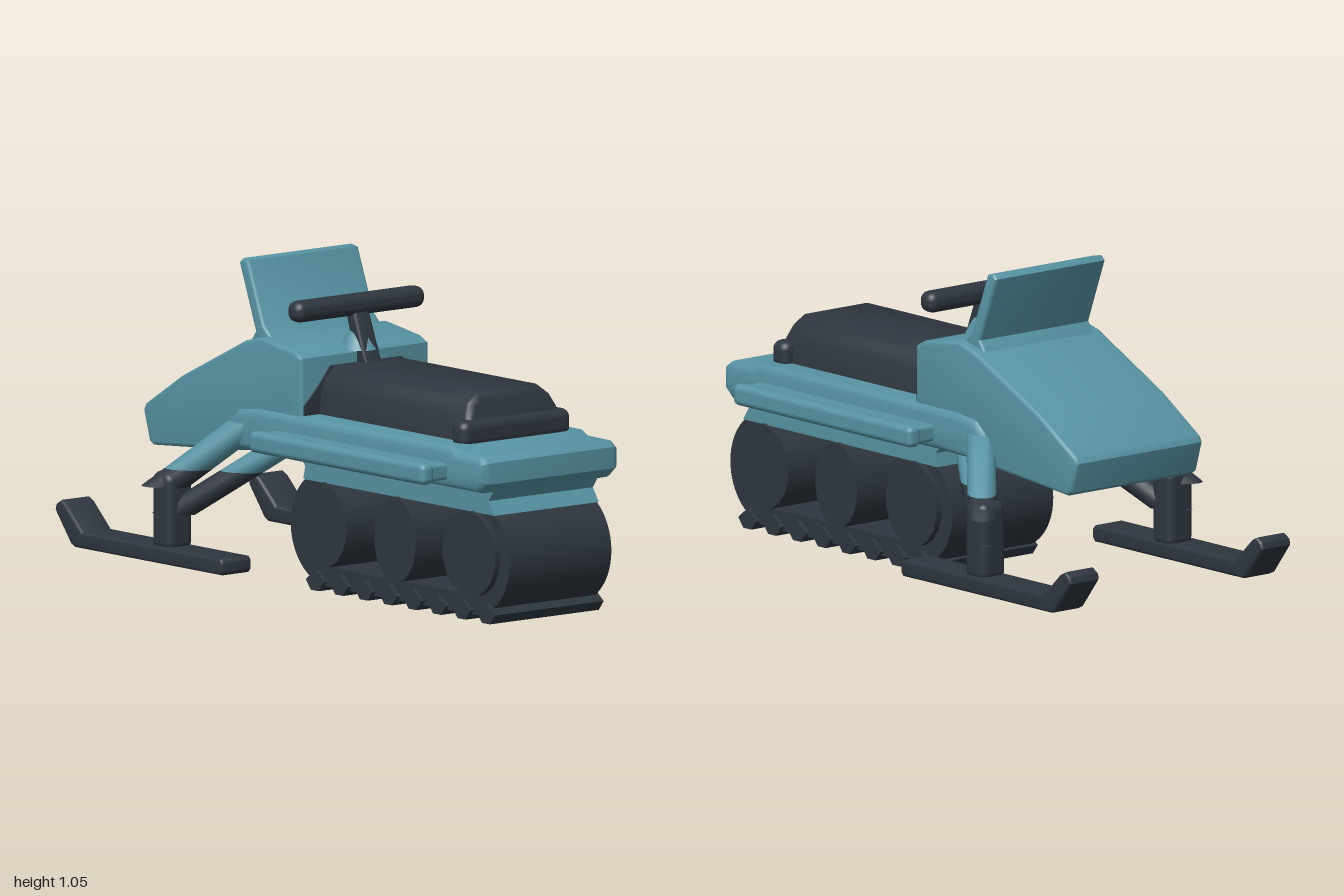
import * as THREE from 'three';
import { toCreasedNormals } from 'three/addons/utils/BufferGeometryUtils.js';
import { RoundedBoxGeometry } from 'three/addons/geometries/RoundedBoxGeometry.js';

const teal = new THREE.MeshStandardMaterial({ color: 0x5793a3 });
teal.name = 'teal paint';
const dark = new THREE.MeshStandardMaterial({ color: 0x2e363f });
dark.name = 'dark rubber';

export function createModel() {
  const model = new THREE.Group();
  model.name = 'snowmobile';

  const add = (name, geometry, material) => {
    const mesh = new THREE.Mesh(geometry, material);
    mesh.name = name;
    model.add(mesh);
    return mesh;
  };

  const outline = (points) => new THREE.Shape(points.map(([x, y]) => new THREE.Vector2(x, y)));

  // Extrudes a side outline from z0 to z1 with bevelled edges kept inside the outline
  const slab = (shape, z0, z1, bevel) => {
    const g = new THREE.ExtrudeGeometry(shape, {
      depth: z1 - z0 - 2 * bevel, bevelEnabled: bevel > 0, bevelThickness: bevel,
      bevelSize: bevel, bevelOffset: -bevel, bevelSegments: 3, curveSegments: 16,
    });
    g.translate(0, 0, z0 + bevel);
    return toCreasedNormals(g, 0.6);
  };

  // Rounded box given by its limits
  const block = (x0, x1, y0, y1, z0, z1, r) =>
    new RoundedBoxGeometry(x1 - x0, y1 - y0, z1 - z0, 3, r)
      .translate((x0 + x1) / 2, (y0 + y1) / 2, (z0 + z1) / 2);

  // Slanted rod from a to b whose ends are cut level
  const rod = (a, b, r) => {
    const d = new THREE.Vector3().subVectors(b, a);
    const g = new THREE.CylinderGeometry(r, r, d.length(), 14);
    const top = Array.from(g.attributes.position.array).filter((_, i) => i % 3 === 1).map((y) => y > 0);
    g.applyQuaternion(new THREE.Quaternion().setFromUnitVectors(
      new THREE.Vector3(0, 1, 0), d.clone().normalize()));
    g.translate((a.x + b.x) / 2, (a.y + b.y) / 2, (a.z + b.z) / 2);
    const p = g.attributes.position, v = new THREE.Vector3();
    for (let i = 0; i < p.count; i++) {
      v.fromBufferAttribute(p, i);
      v.addScaledVector(d, ((top[i] ? b.y : a.y) - v.y) / d.y);
      p.setXYZ(i, v.x, v.y, v.z);
    }
    return toCreasedNormals(g.toNonIndexed(), 0.7);
  };

  // Body
  add('hood', slab(outline([
    [-0.795, 0.5], [-0.765, 0.4], [-0.745, 0.388], [-0.36, 0.42], [-0.1, 0.45], [0.01, 0.47],
    [0.01, 0.765], [-0.03, 0.785], [-0.2, 0.81], [-0.28, 0.79], [-0.6, 0.635], [-0.785, 0.52],
  ]), -0.27, 0.27, 0.012), teal);
  add('windshield', slab(outline([
    [-0.35, 1.035], [-0.335, 1.05], [-0.305, 1.045], [-0.225, 0.84], [-0.18, 0.8],
    [-0.2, 0.77], [-0.3, 0.77], [-0.268, 0.82],
  ]), -0.235, 0.235, 0.01), teal);
  add('chassis', slab(outline([
    [-0.38, 0.43], [-0.34, 0.53], [-0.3, 0.565], [-0.2, 0.578], [0.78, 0.578], [0.81, 0.562],
    [0.93, 0.56], [0.957, 0.54], [0.957, 0.47], [0.92, 0.437], [-0.1, 0.437],
  ]), -0.287, 0.287, 0.028), teal);
  add('tunnel', slab(outline([
    [-0.04, 0.36], [0.93, 0.36], [0.9, 0.405], [0.94, 0.46], [-0.09, 0.46], [-0.03, 0.405],
  ]), -0.22, 0.22, 0), teal);

  // Seat: rounded section swept along x, its rear end leaning forward
  const seat = new THREE.ExtrudeGeometry(outline([
    [-0.2, 0.56], [0.2, 0.56], [0.19, 0.66], [0.17, 0.7], [0.13, 0.732],
    [-0.13, 0.732], [-0.17, 0.7], [-0.19, 0.66],
  ]), { depth: 0.77, bevelThickness: 0.02, bevelSize: 0.02, bevelOffset: -0.02, bevelSegments: 3 });
  seat.rotateY(Math.PI / 2);
  const sp = seat.attributes.position;
  for (let i = 0; i < sp.count; i++) {
    if (sp.getX(i) > 0.5) sp.setX(i, sp.getX(i) - 0.3 * (sp.getY(i) - 0.56));
  }
  add('seat', toCreasedNormals(seat, 0.7), dark);
  add('seatRearRim', block(0.71, 0.787, 0.56, 0.65, -0.23, 0.23, 0.03), dark);
  add('seatFrontPanel', slab(outline([
    [-0.26, 0.57], [0.26, 0.57], [0.26, 0.61], [0.2, 0.67], [0.15, 0.732],
    [-0.15, 0.732], [-0.2, 0.67], [-0.26, 0.61],
  ]), 0, 0.008, 0).rotateY(Math.PI / 2).translate(0.009, 0, 0), dark);

  // Steering
  add('handlebar', block(-0.072, 0, 0.878, 0.948, -0.272, 0.272, 0.03), dark);
  add('steeringStem', slab(outline([
    [-0.055, 0.9], [-0.01, 0.9], [0.06, 0.72], [-0.02, 0.72], [-0.02, 0.79],
  ]), -0.035, 0.035, 0.012), dark);
  add('stemCollar', new THREE.CylinderGeometry(0.035, 0.065, 0.06, 16).translate(-0.02, 0.8, 0), teal);

  // Track belt: a hollow loop
  const loop = (path, x0, x1, y, r) => {
    path.absarc(x1, y, r, -Math.PI / 2, Math.PI / 2, false);
    path.absarc(x0, y, r, Math.PI / 2, Math.PI * 1.5, false);
    path.closePath();
    return path;
  };
  const belt = loop(new THREE.Shape(), 0.08, 0.81, 0.21, 0.19);
  belt.holes.push(loop(new THREE.Path(), 0.1, 0.79, 0.2225, 0.137));
  add('trackBelt', slab(belt, -0.215, 0.215, 0), dark);

  // Track lugs
  for (let i = 0; i < 8; i++) {
    const x = 0.03 + i * 0.124;
    add('trackLug', slab(outline([
      [x - 0.045, 0.035], [x - 0.02, 0.003], [x + 0.02, 0.003], [x + 0.045, 0.035], [x, 0.07],
    ]), -0.23, 0.23, 0), dark);
  }

  // Track wheels
  for (const [x, r] of [[0.07, 0.128], [0.445, 0.106], [0.82, 0.135]]) {
    const wheel = new THREE.CylinderGeometry(r, r, 0.474, 18);
    wheel.rotateX(Math.PI / 2).scale(1, 0.141 / r, 1).translate(x, 0.2225, 0);
    add('trackWheel', wheel, dark);
  }

  // Running boards, skis and suspension on both sides
  for (const s of [1, -1]) {
    const side = s > 0 ? 'left' : 'right';
    const range = (a, b) => (s > 0 ? [a, b] : [-b, -a]);
    add(side + 'RunningBoard', block(-0.1, 0.77, 0.465, 0.52, ...range(0.25, 0.37), 0.012), teal);
    add(side + 'BoardEdge', block(-0.11, 0.78, 0.457, 0.527, ...range(0.345, 0.398), 0.02), teal);

    add(side + 'Ski', slab(outline([
      [-0.16, 0.053], [-0.9, 0.053], [-0.92, 0.062], [-1, 0.165], [-0.995, 0.185], [-0.97, 0.2],
      [-0.945, 0.188], [-0.86, 0.107], [-0.16, 0.107], [-0.15, 0.095], [-0.15, 0.065],
    ]), ...range(0.345, 0.472), 0.01), dark);
    add(side + 'SkiPost', block(-0.54, -0.44, 0.09, 0.35, ...range(0.345, 0.453), 0.03), dark);

    // Each arm changes colour at a level line
    const arms = {
      UpperArm: [[-0.5, 0.3, 0.42], [-0.28, 0.52, 0.24], 0.048],
      LowerArm: [[-0.48, 0.21, 0.4], [-0.18, 0.44, 0.21], 0.04],
    };
    for (const [name, [p, q, r]] of Object.entries(arms)) {
      const a = new THREE.Vector3(p[0], p[1], s * p[2]);
      const b = new THREE.Vector3(q[0], q[1], s * q[2]);
      const m = a.clone().lerp(b, (0.36 - a.y) / (b.y - a.y));
      add(side + name, rod(a, m, r), dark);
      add(side + name + 'Mount', rod(m, b, r), teal);
    }
  }
  return model;
}
